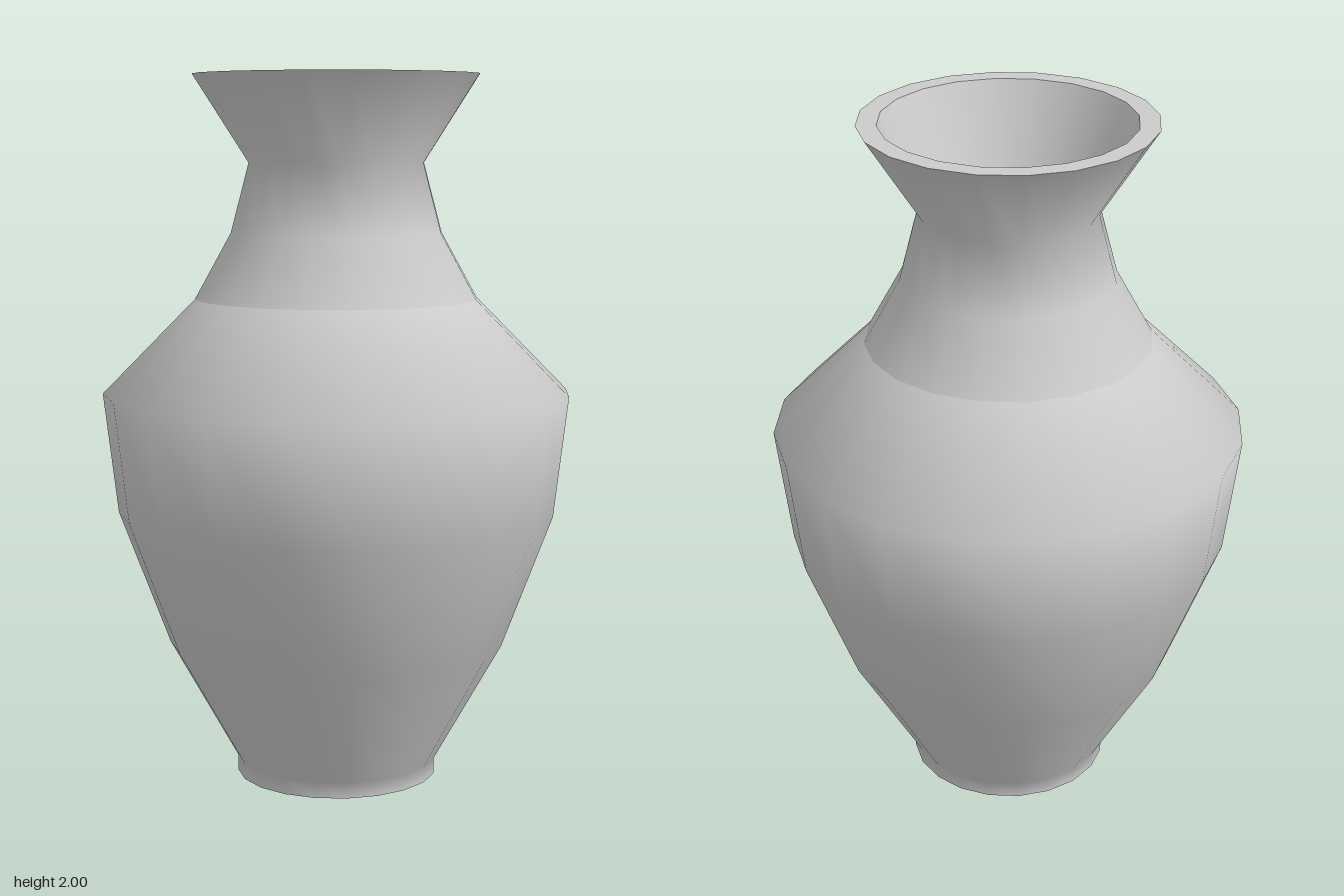
import * as THREE from 'three';

const SIDES = 20;

export function createModel() {
  const group = new THREE.Group();
  group.name = 'vase';
  const material = new THREE.MeshStandardMaterial({ color: 0xcccccc });

  // Each profile is a list of [radius, height]; separate lathes keep sharp edges between them.
  const addLathe = (name, profile) => {
    const points = profile.map(([r, y]) => new THREE.Vector2(r, y));
    const mesh = new THREE.Mesh(new THREE.LatheGeometry(points, SIDES), material);
    mesh.name = name;
    group.add(mesh);
  };

  // Outside, from the underside up to the lip
  addLathe('base', [[0, 0], [0.287, 0]]);
  addLathe('body', [[0.287, 0], [0.287, 0.045], [0.48, 0.39], [0.622, 0.77], [0.662, 1.11], [0.4, 1.375]]);
  addLathe('neck', [[0.4, 1.375], [0.298, 1.56], [0.247, 1.755], [0.403, 2]]);

  // Flat lip, then the inside from the lip down to the floor
  addLathe('rim', [[0.403, 2], [0.347, 2]]);
  addLathe('throat', [[0.347, 2], [0.238, 1.74]]);
  addLathe('innerWall', [[0.238, 1.74], [0.27, 1.56], [0.36, 1.375], [0.61, 1.11], [0.57, 0.77], [0.43, 0.39], [0.25, 0.06]]);
  addLathe('floor', [[0.25, 0.06], [0, 0.06]]);

  return group;
}
